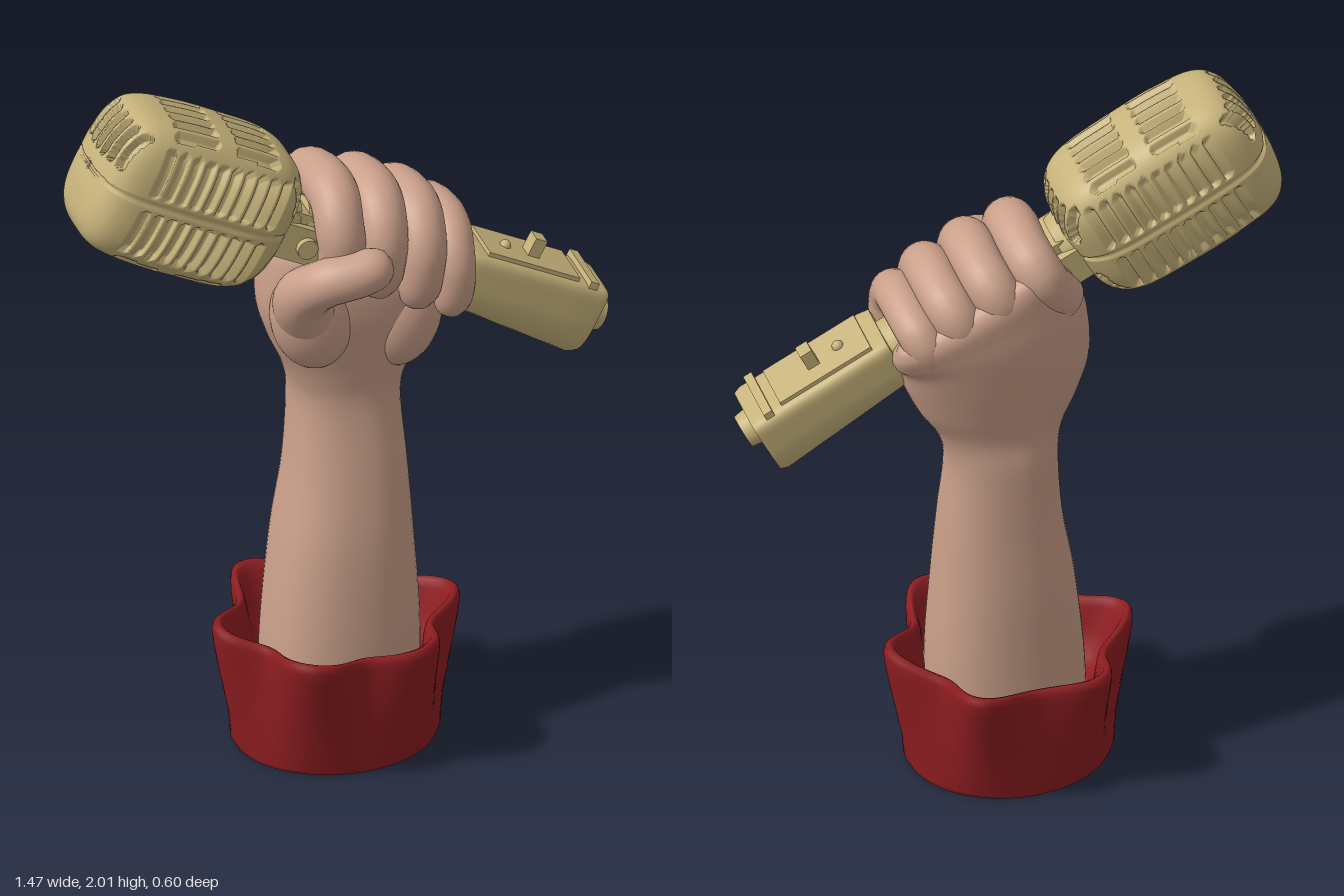
import * as THREE from 'three';

const TAU = Math.PI * 2;
const mat = (name, color) => Object.assign(new THREE.MeshStandardMaterial({ color }), { name });

// Closed-around surface: fn(i, angle) gives the point of row i.
function loft(rows, cols, fn) {
  const pos = [], idx = [];
  for (let i = 0; i < rows; i++)
    for (let j = 0; j < cols; j++) {
      pos.push(...fn(i, (j / cols) * TAU));
      if (i === rows - 1) continue;
      const a = i * cols + j, d = i * cols + ((j + 1) % cols);
      idx.push(a, a + cols, d + cols, a, d + cols, d);
    }
  const g = new THREE.BufferGeometry();
  g.setAttribute('position', new THREE.Float32BufferAttribute(pos, 3));
  g.setIndex(idx);
  g.computeVertexNormals();
  return g;
}

// Distance to the centre of a rounded-rectangle outline with half sizes a, b.
const squircle = (c, s, a, b, n) =>
  Math.pow(Math.pow(Math.abs(c / a), n) + Math.pow(Math.abs(s / b), n), -1 / n);

// Tapered limb along a curve, with a rounded tip.
function limb(points, radii) {
  const rows = 40, curve = new THREE.CatmullRomCurve3(points.map(p => new THREE.Vector3(...p)));
  const { normals, binormals } = curve.computeFrenetFrames(rows - 1);
  return loft(rows, 24, (i, a) => {
    const t = i / (rows - 1), f = t * (radii.length - 1), k = Math.min(Math.floor(f), radii.length - 2);
    const tip = Math.max(0, (t - 0.86) / 0.14);
    const r = THREE.MathUtils.lerp(radii[k], radii[k + 1], f - k) * Math.sqrt(Math.max(0, 1 - tip * tip));
    return curve.getPointAt(t)
      .addScaledVector(normals[i], Math.cos(a) * r)
      .addScaledVector(binormals[i], -Math.sin(a) * r).toArray();
  });
}

// True inside a capsule-shaped slot running along q around (pc, qc).
const inSlot = (p, q, pc, qc, half, r) =>
  Math.hypot(p - pc, Math.max(0, Math.abs(q - qc) - half)) < r;
const nearest = (p, start, step, count) =>
  start + step * THREE.MathUtils.clamp(Math.round((p - start) / step), 0, count - 1);

// Slot layout of the microphone grille.
function grooved(u, v, z) {
  const zc = nearest(z, -0.114, 0.038, 7);
  if (inSlot(u, Math.abs(v), nearest(u, -0.17, 0.04, 10), 0.09, 0.055, 0.012)) return true;
  if (Math.abs(v) > 0.16 && (inSlot(z, u, zc, -0.1, 0.055, 0.011) || inSlot(z, u, zc, 0.09, 0.055, 0.011))) return true;
  if (u < -0.22 && inSlot(z, v, zc, 0.11, 0.045, 0.011)) return true;
  return u > 0.22 && inSlot(z, Math.abs(v), zc, 0.115, 0.04, 0.011);
}

function headGeometry() {
  const profile = [[-0.3, 0], [-0.297, 0.35], [-0.275, 0.72], [-0.22, 0.93], [-0.1, 1], [0.05, 1],
    [0.15, 0.98], [0.22, 0.89], [0.265, 0.69], [0.285, 0.4], [0.29, 0]];
  const pts = new THREE.SplineCurve(profile.map(([u, s]) => new THREE.Vector2(u, s * 0.2))).getSpacedPoints(150);
  return loft(pts.length, 200, (i, a) => {
    const c = Math.cos(a), s = -Math.sin(a), u = pts[i].x;
    const r = squircle(c, s, 0.212, 0.167, 3.4) * Math.max(0, pts[i].y) * 5;
    const v = r * c, z = r * s;
    const k = grooved(u, v, z) ? 0.925 : Math.abs(v) < 0.006 ? 0.98 : 1;
    return [u * k, v * k, z * k];
  });
}

// Flat-topped, round-bellied handle end, deeper toward the tail.
function tailGeometry() {
  const rows = [[0.83, 0], [0.83, 0.96], [0.83, 0.96], [0.86, 1], [1.0, 1], [1.12, 1],
    [1.225, 1], [1.245, 0.94], [1.245, 0.94], [1.245, 0]];
  return loft(rows.length, 64, (i, a) => {
    const [u, k] = rows[i], c = Math.cos(a), s = -Math.sin(a);
    const depth = 0.09 + 0.04 * (u - 0.83) / 0.41;
    const r = k * (c > 0 ? squircle(c, s, 0.09, 0.098, 9) : squircle(c, s, depth, 0.098, 2.6));
    return [u, r * c, r * s];
  });
}

function armGeometry() {
  // y, left x, right x, back z, front z, downward tilt to the right
  const rings = [
    [0.15, -0.2, 0.22, -0.2, 0.19, 0], [0.36, -0.188, 0.222, -0.2, 0.18, 0],
    [0.6, -0.16, 0.21, -0.2, 0.155, 0], [0.8, -0.125, 0.2, -0.19, 0.115, 0],
    [1.0, -0.11, 0.19, -0.18, 0.07, 0], [1.1, -0.125, 0.215, -0.17, 0.07, 0],
    [1.2, -0.17, 0.268, -0.185, 0.085, 0.05], [1.3, -0.198, 0.305, -0.2, 0.1, 0.1],
    [1.42, -0.185, 0.325, -0.212, 0.09, 0.25], [1.51, -0.14, 0.345, -0.213, 0.03, 0.4],
    [1.59, -0.09, 0.35, -0.21, -0.05, 0.48], [1.63, -0.06, 0.32, -0.185, -0.09, 0.5],
    [1.635, 0.13, 0.131, -0.14, -0.139, 0.5]];
  const track = pick => new THREE.CatmullRomCurve3(rings.map(r => new THREE.Vector3(...pick(r))), false, 'catmullrom', 0.5);
  const A = track(r => r.slice(0, 3)), B = track(r => r.slice(3));
  const rows = 73, p = new THREE.Vector3(), q = new THREE.Vector3();
  return loft(rows, 56, (i, a) => {
    A.getPoint(i / (rows - 1), p);
    B.getPoint(i / (rows - 1), q);
    const c = Math.cos(a), s = Math.sin(a), r = squircle(c, s, 1, 1, 2.4);
    const x = (p.y + p.z) / 2 + r * c * (p.z - p.y) / 2;
    return [x, p.x - q.z * x, (q.x + q.y) / 2 + r * s * (q.y - q.x) / 2];
  });
}

// Fluted cuff with six soft folds, a rolled rim and a closed base.
function cuffGeometry() {
  const rows = [[0, 0, 0], [0, 0.255, 0], [0, 0.255, 0], [0.015, 0.262, 0.002], [0.08, 0.268, 0.006],
    [0.16, 0.28, 0.014], [0.24, 0.291, 0.024], [0.31, 0.3, 0.032], [0.345, 0.303, 0.035], [0.363, 0.3, 0.035],
    [0.37, 0.29, 0.034], [0.363, 0.278, 0.033], [0.34, 0.268, 0.03], [0.28, 0.25, 0.02], [0.2, 0.225, 0.01],
    [0.18, 0.18, 0], [0.18, 0, 0]];
  return loft(rows.length, 120, (i, a) => {
    const [y, r0, wave] = rows[i], fold = Math.cos(6 * a);
    const r = r0 + wave * fold + wave * 0.08 * Math.sin(11 * a), flat = 1 - y / 0.37;
    return [r * Math.cos(a) * (1 + 0.07 * flat), y + wave * 0.35 * fold, r * Math.sin(a) * (1 - 0.07 * flat)];
  });
}

export function createModel() {
  const model = new THREE.Group();
  model.name = 'raisedFistWithMicrophone';
  const gold = mat('gold', 0xc6b27a), skin = mat('skin', 0xcaa08a), red = mat('red', 0x8e1d21);
  const add = (parent, name, geometry, material, x = 0, y = 0, z = 0) => {
    const m = new THREE.Mesh(geometry, material);
    m.name = name;
    m.position.set(x, y, z);
    parent.add(m);
    return m;
  };
  // Groups whose x runs along the microphone from head to tail.
  const tilted = name => {
    const g = new THREE.Group();
    g.name = name;
    g.position.set(-0.42, 1.73, 0.01);
    g.rotation.z = -27 * Math.PI / 180;
    model.add(g);
    return g;
  };
  const rod = (r0, r1, len) => new THREE.CylinderGeometry(r1, r0, len, 32).rotateZ(-Math.PI / 2);

  // Sleeve and arm
  add(model, 'sleeveCuff', cuffGeometry(), red);
  add(model, 'forearmAndHand', armGeometry(), skin);
  const pad = (name, x, y, z, a, b, c, turn) => {
    const m = add(model, name, new THREE.SphereGeometry(1, 32, 20), skin, x, y, z);
    m.scale.set(a, b, c);
    m.rotation.z = turn;
  };
  pad('thumbPad', -0.075, 1.3, 0.035, 0.115, 0.16, 0.09, 0.15);
  pad('palmHeel', 0.18, 1.24, 0.03, 0.1, 0.14, 0.075, -0.25);
  add(model, 'thumb', limb(
    [[-0.08, 1.28, 0.02], [-0.12, 1.4, 0.1], [-0.085, 1.475, 0.175], [0.0, 1.503, 0.205], [0.09, 1.525, 0.2]],
    [0.09, 0.082, 0.066, 0.062, 0.056]), skin);

  // Fingers wrapped over the grip: position along it, height, thickness
  const fingers = tilted('fingers');
  [['indexFinger', 0.39, 0.112, 0.066], ['middleFinger', 0.515, 0.132, 0.067],
    ['ringFinger', 0.637, 0.134, 0.065], ['littleFinger', 0.742, 0.12, 0.057]].forEach(([name, u, h, r]) => {
    add(fingers, name, limb(
      [[u - 0.01, -0.06, -0.12], [u, 0.02, -0.145], [u, h - 0.03, -0.148], [u, h, -0.09], [u, h + 0.004, 0.04],
        [u + 0.02, h - 0.05, 0.102], [u + 0.05, 0.01, 0.112], [u + 0.075, -0.05, 0.095], [u + 0.08, -0.085, 0.05]],
      [r, r, r, r, r * 1.04, r, r * 0.98, r * 0.92, r * 0.85]), skin);
  });

  // Microphone
  const mic = tilted('microphone');
  add(mic, 'grilleHead', headGeometry(), gold);
  add(mic, 'neckBlock', new THREE.BoxGeometry(0.12, 0.13, 0.13), gold, 0.33, -0.01);
  add(mic, 'neckCollar', rod(0.1, 0.085, 0.05), gold, 0.29, -0.01);
  for (const side of [-1, 1]) {
    add(mic, 'yokePlate', new THREE.BoxGeometry(0.15, 0.1, 0.025), gold, 0.35, -0.02, side * 0.085);
    add(mic, 'yokeScrew', new THREE.CylinderGeometry(0.028, 0.028, 0.02, 20).rotateX(Math.PI / 2), gold, 0.35, -0.02, side * 0.105);
  }
  add(mic, 'grip', rod(0.075, 0.08, 0.52), gold, 0.6, 0);
  add(mic, 'handleEnd', tailGeometry(), gold);
  add(mic, 'switchPlate', new THREE.BoxGeometry(0.28, 0.014, 0.15), gold, 1.01, 0.093);
  add(mic, 'switch', new THREE.BoxGeometry(0.035, 0.06, 0.045), gold, 1.025, 0.122);
  add(mic, 'plateRivet', new THREE.SphereGeometry(0.016, 16, 10), gold, 0.945, 0.1);
  add(mic, 'endLip', new THREE.BoxGeometry(0.025, 0.02, 0.18), gold, 1.19, 0.095);
  add(mic, 'endKnob', rod(0.052, 0.046, 0.04), gold, 1.258, 0.0, 0.025);
  return model;
}
